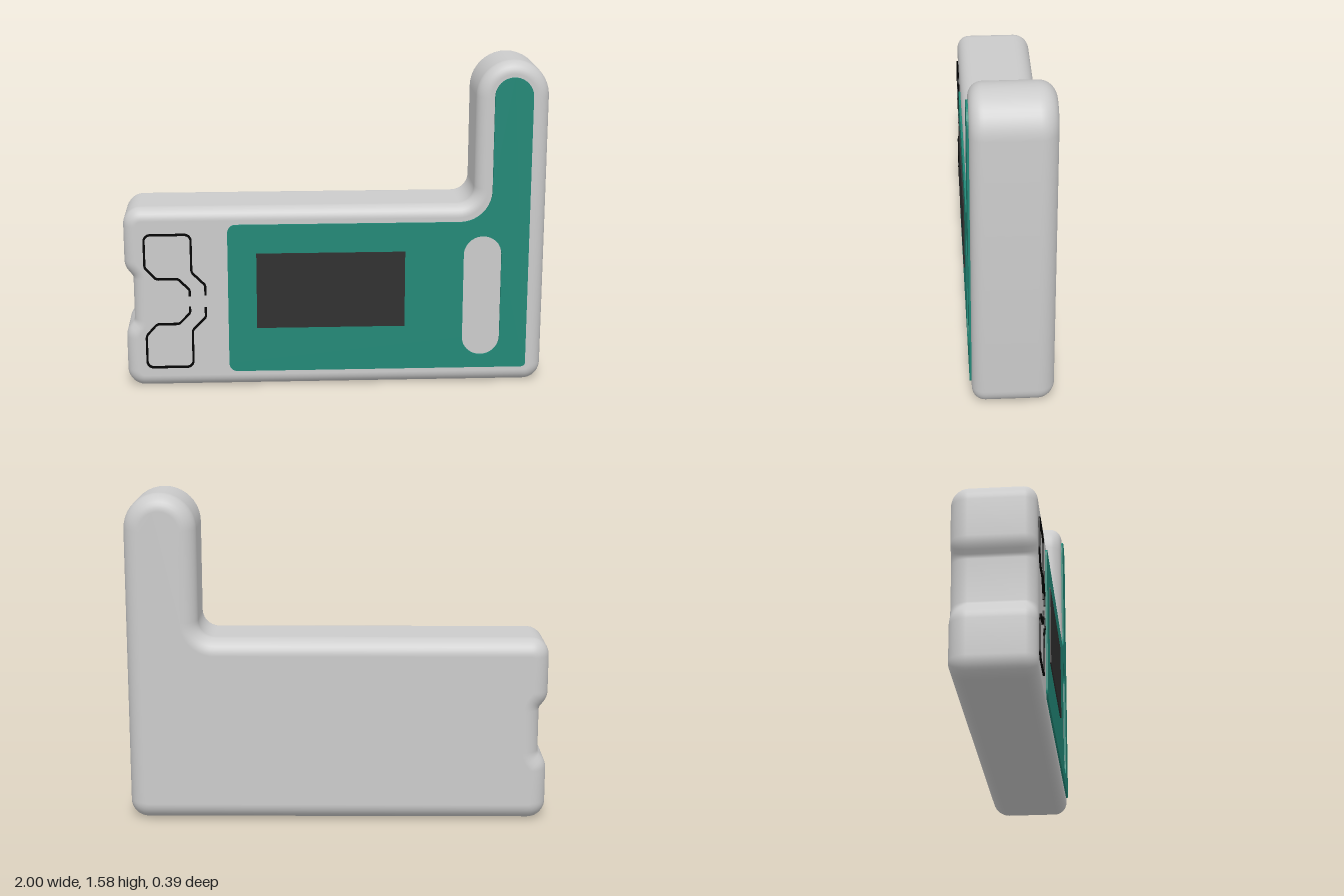
import * as THREE from 'three';

const V = (x, y) => new THREE.Vector2(x, y);
const FRONT = 0.18, BACK = -0.195;

// Turns corners [x, y, radius] into points with true arcs at the corners
function roundCorners(corners, closed = true) {
  const n = corners.length, out = [];
  const add = (p) => {
    if (!out.length || out[out.length - 1].distanceTo(p) > 1e-4) out.push(p);
  };
  corners.forEach(([x, y, r = 0], i) => {
    const p = V(x, y);
    if (!r || (!closed && (i === 0 || i === n - 1))) return add(p);
    const a = corners[(i + n - 1) % n], b = corners[(i + 1) % n];
    const u = V(a[0], a[1]).sub(p).normalize(), v = V(b[0], b[1]).sub(p).normalize();
    const half = Math.acos(u.dot(v)) / 2;
    const c = u.clone().add(v).normalize().multiplyScalar(r / Math.sin(half)).add(p);
    const start = u.multiplyScalar(r / Math.tan(half)).add(p).sub(c).angle();
    const end = v.multiplyScalar(r / Math.tan(half)).add(p).sub(c).angle();
    let sweep = end - start;
    if (sweep > Math.PI) sweep -= 2 * Math.PI;
    if (sweep < -Math.PI) sweep += 2 * Math.PI;
    const steps = Math.max(3, Math.ceil(Math.abs(sweep) / 0.17));
    for (let k = 0; k <= steps; k++) {
      const t = start + (sweep * k) / steps;
      add(V(c.x + r * Math.cos(t), c.y + r * Math.sin(t)));
    }
  });
  if (closed && out[0].distanceTo(out[out.length - 1]) < 1e-4) out.pop();
  return out;
}

// Mitred right-hand normals: outward for a counter-clockwise outline
function mitres(pts, closed = true) {
  const n = pts.length;
  return pts.map((p, i) => {
    const prev = closed || i > 0 ? pts[(i + n - 1) % n] : null;
    const next = closed || i < n - 1 ? pts[(i + 1) % n] : null;
    const d1 = prev ? p.clone().sub(prev).normalize() : next.clone().sub(p).normalize();
    const d2 = next ? next.clone().sub(p).normalize() : d1;
    const m = V(d1.y + d2.y, -d1.x - d2.x).normalize();
    return m.divideScalar(m.x * d1.y - m.y * d1.x);
  });
}
const offset = (pts, dirs, d) => pts.map((p, i) => p.clone().addScaledVector(dirs[i], d));

// Solid with a differently rounded back and front edge
function roundedSlab(pts, backR, frontR) {
  const dirs = mitres(pts), n = pts.length, steps = 8;
  const pos = [], nor = [], idx = [], rings = [];
  for (let k = 0; k <= steps; k++) {
    const a = (k / steps - 1) * Math.PI / 2;
    rings.push([a, backR, BACK + backR]);
  }
  for (let k = 0; k <= steps; k++) rings.push([(k / steps) * Math.PI / 2, frontR, FRONT - frontR]);
  rings.forEach(([a, r, z]) => {
    offset(pts, dirs, -r * (1 - Math.cos(a))).forEach((p, i) => {
      const d = dirs[i].clone().normalize();
      pos.push(p.x, p.y, z + r * Math.sin(a));
      nor.push(d.x * Math.cos(a), d.y * Math.cos(a), Math.sin(a));
    });
  });
  for (let j = 0; j < rings.length - 1; j++) {
    for (let i = 0; i < n; i++) {
      const a = j * n + i, b = j * n + (i + 1) % n;
      idx.push(a, b, b + n, a, b + n, a + n);
    }
  }
  // flat back and front faces
  const last = (rings.length - 1) * n;
  THREE.ShapeUtils.triangulateShape(offset(pts, dirs, -backR), [])
    .forEach(([a, b, c]) => idx.push(c, b, a));
  THREE.ShapeUtils.triangulateShape(offset(pts, dirs, -frontR), [])
    .forEach(([a, b, c]) => idx.push(last + a, last + b, last + c));
  const g = new THREE.BufferGeometry();
  g.setAttribute('position', new THREE.Float32BufferAttribute(pos, 3));
  g.setAttribute('normal', new THREE.Float32BufferAttribute(nor, 3));
  g.setIndex(idx);
  return g;
}

// Thin plate lying on the front face
function plate(pts, thickness, holes = []) {
  const s = new THREE.Shape(pts);
  s.holes = holes.map((h) => new THREE.Path(h));
  return new THREE.ExtrudeGeometry(s, { depth: thickness, bevelEnabled: false })
    .translate(0, 0, FRONT);
}

export function createModel() {
  const model = new THREE.Group();
  const add = (name, geometry, color) => {
    const mesh = new THREE.Mesh(geometry, new THREE.MeshStandardMaterial({ color }));
    mesh.name = name;
    model.add(mesh);
  };

  // L-shaped case with an upright arm and a shallow notch in its short end
  const outline = roundCorners([
    [-1, 0, 0.085], [1, 0, 0.085], [1, 1.575, 0.17], [0.66, 1.575, 0.17],
    [0.66, 0.89, 0.08], [-1, 0.89, 0.085],
    [-1, 0.6, 0.09], [-0.96, 0.55, 0.03], [-0.96, 0.33, 0.03], [-1, 0.28, 0.09],
  ]);
  add('case', roundedSlab(outline, 0.08, 0.06), 0xcccccc);

  // Green face panel with a slot
  const panel = roundCorners([
    [-0.51, 0.08, 0.04], [0.92, 0.08, 0.02], [0.92, 1.5, 0.09], [0.74, 1.5, 0.09],
    [0.74, 0.81, 0.15], [-0.51, 0.81, 0.04],
  ]);
  const slot = roundCorners([
    [0.61, 0.145, 0.09], [0.79, 0.145, 0.09], [0.79, 0.74, 0.09], [0.61, 0.74, 0.09],
  ]);
  add('facePanel', plate(panel, 0.009, [slot]), 0x228877);

  // Dark screen
  add('screen', new THREE.BoxGeometry(0.705, 0.37, 0.015)
    .translate(-0.022, 0.485, FRONT + 0.0075), 0x303030);

  // Mirrored pair of line markings
  const trace = [
    [-0.618, 0.465], [-0.618, 0.515, 0.02], [-0.682, 0.58, 0.03], [-0.682, 0.765, 0.03],
    [-0.902, 0.765, 0.03], [-0.902, 0.605, 0.03], [-0.85, 0.547, 0.03],
    [-0.745, 0.547, 0.02], [-0.692, 0.492, 0.02], [-0.692, 0.462],
  ];
  for (const [name, flip] of [['upperMarking', false], ['lowerMarking', true]]) {
    const corners = trace.map(([x, y, r]) => [x, flip ? 0.87 - y : y, r]);
    const line = roundCorners(corners, false), dirs = mitres(line, false);
    const band = [...offset(line, dirs, 0.005), ...offset(line, dirs, -0.005).reverse()];
    add(name, plate(band, 0.008), 0x000000);
  }
  return model;
}
